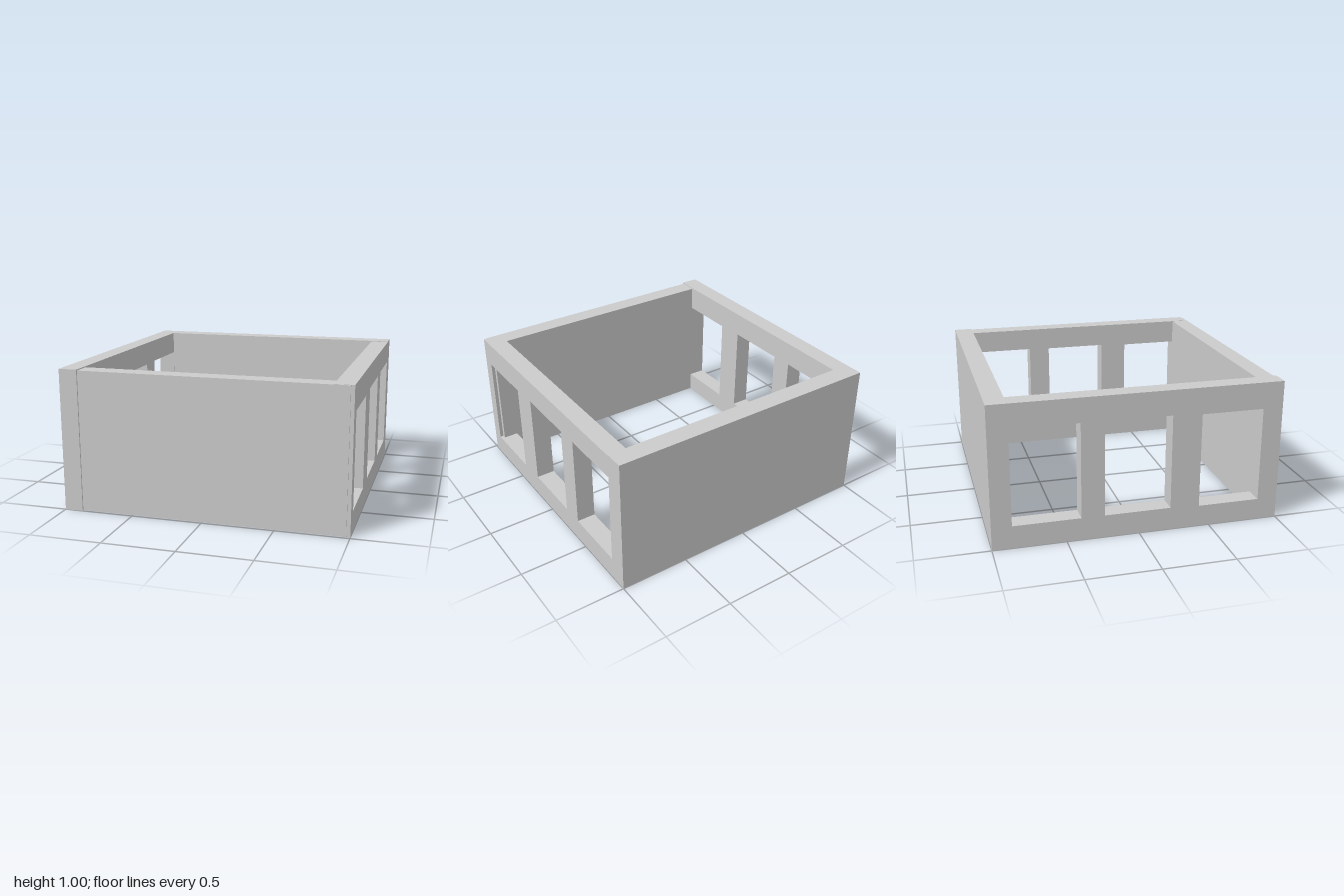
import * as THREE from 'three';

const material = new THREE.MeshStandardMaterial({ color: 0xcccccc, flatShading: true });

// Solid wall given by its minimum and maximum corners
function solidWall(name, [x0, y0, z0], [x1, y1, z1]) {
  const geometry = new THREE.BoxGeometry(x1 - x0, y1 - y0, z1 - z0);
  geometry.translate((x0 + x1) / 2, (y0 + y1) / 2, (z0 + z1) / 2);
  const mesh = new THREE.Mesh(geometry, material);
  mesh.name = name;
  return mesh;
}

// Rectangle in the wall plane, where u runs towards the back (-z)
function rectangle(path, zFront, zBack, yLow, yHigh) {
  path.moveTo(-zFront, yLow);
  path.lineTo(-zBack, yLow);
  path.lineTo(-zBack, yHigh);
  path.lineTo(-zFront, yHigh);
  path.closePath();
  return path;
}

// Side wall with window openings, extruded along x
function windowWall(name, x0, x1, zFront, zBack, height, windows) {
  const shape = rectangle(new THREE.Shape(), zFront, zBack, 0, height);
  for (const w of windows) shape.holes.push(rectangle(new THREE.Path(), ...w));
  const geometry = new THREE.ExtrudeGeometry(shape, { depth: x1 - x0, bevelEnabled: false });
  geometry.rotateY(Math.PI / 2);
  geometry.translate(x0, 0, 0);
  const mesh = new THREE.Mesh(geometry, material);
  mesh.name = name;
  return mesh;
}

export function createModel() {
  const group = new THREE.Group();
  group.name = 'openRoom';

  // Openings: front edge, back edge, sill, lintel
  const middleWindow = [0.22, -0.24, 0.16, 0.825];
  const backWindow = [-0.4, -0.863, 0.16, 0.83];

  // Plain front and back walls
  group.add(solidWall('backWall', [-1, 0, -1], [1, 1, -0.865]));
  group.add(solidWall('frontWall', [-0.87, 0.003, 0.86], [0.975, 0.993, 0.99]));

  // Side walls; the left one's front window overlaps the end of the front wall
  group.add(windowWall('leftWall', 0.867, 1, 0.98, -0.865, 0.995,
    [[0.89, 0.425, 0.15, 0.815], middleWindow, backWindow]));
  group.add(windowWall('rightWall', -1, -0.87, 1, -0.865, 1,
    [[0.86, 0.425, 0.15, 0.815], middleWindow, backWindow]));
  return group;
}
